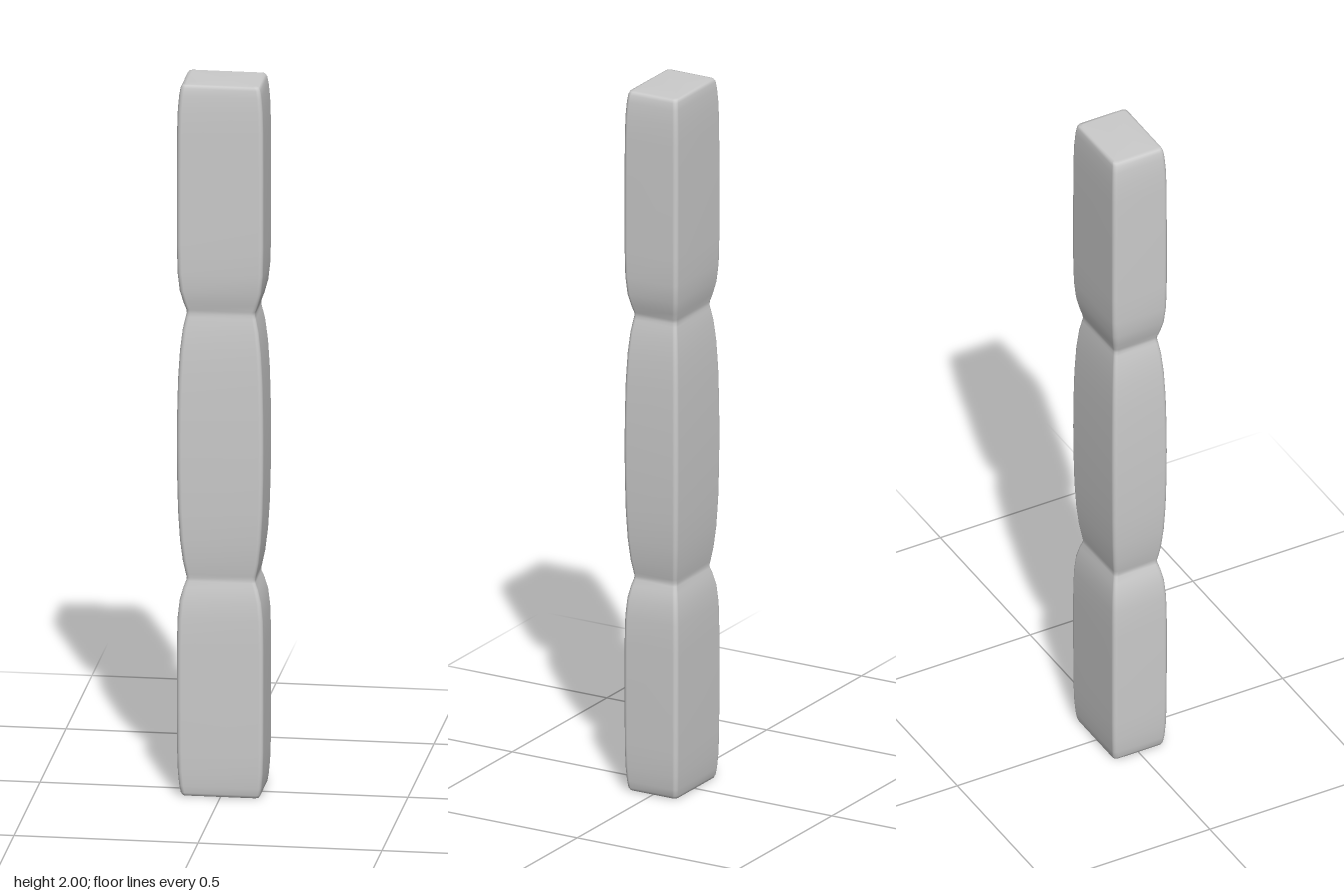
import * as THREE from 'three';

const HALF_X = 0.118, HALF_Z = 0.084, CORNER = 0.013, STEPS = 4;

// Height and relative girth of each cross-section, from bottom to top
const PROFILE = [
  [0, 0], [0, 0.8], [0.002, 0.88], [0.01, 0.92], [0.03, 0.95], [0.07, 0.98], [0.13, 0.995], [0.25, 1], [0.42, 1],
  [0.5, 0.985], [0.55, 0.94], [0.585, 0.86], [0.603, 0.8], [0.612, 0.79], [0.622, 0.81],
  [0.66, 0.875], [0.72, 0.935], [0.8, 0.975], [0.9, 0.995], [0.985, 1], [1.07, 0.995], [1.17, 0.975],
  [1.25, 0.935], [1.31, 0.875], [1.345, 0.81], [1.355, 0.79], [1.365, 0.8],
  [1.385, 0.86], [1.42, 0.94], [1.47, 0.985], [1.55, 1], [1.75, 1],
  [1.87, 0.995], [1.93, 0.98], [1.97, 0.95], [1.99, 0.92], [1.998, 0.88], [2, 0.8], [2, 0],
];

// Rounded rectangle running once around the vertical axis
function crossSection() {
  const points = [];
  [[1, 1], [-1, 1], [-1, -1], [1, -1]].forEach(([sx, sz], corner) => {
    for (let k = 0; k <= STEPS; k++) {
      const a = (corner + k / STEPS) * Math.PI / 2;
      points.push([
        sx * (HALF_X - CORNER) + CORNER * Math.cos(a),
        sz * (HALF_Z - CORNER) + CORNER * Math.sin(a),
      ]);
    }
  });
  return points;
}

// Skin of the post, lofted through the scaled cross-sections
function loft(profile, section) {
  const positions = [], index = [], n = section.length;
  for (const [y, s] of profile) {
    for (const [x, z] of section) positions.push(x * s, y, z * s);
  }
  for (let i = 0; i < profile.length - 1; i++) {
    for (let j = 0; j < n; j++) {
      const a = i * n + j, b = i * n + (j + 1) % n;
      if (profile[i][1] > 0) index.push(a, a + n, b);
      if (profile[i + 1][1] > 0) index.push(b, a + n, b + n);
    }
  }
  const geometry = new THREE.BufferGeometry();
  geometry.setAttribute('position', new THREE.Float32BufferAttribute(positions, 3));
  geometry.setIndex(index);
  geometry.computeVertexNormals();
  return geometry;
}

export function createModel() {
  const group = new THREE.Group();
  group.name = 'segmentedPost';
  const material = new THREE.MeshStandardMaterial({ color: 0xcccccc });

  // Three swelling segments joined by two pinched waists
  const post = new THREE.Mesh(loft(PROFILE, crossSection()), material);
  post.name = 'post';
  group.add(post);
  return group;
}
